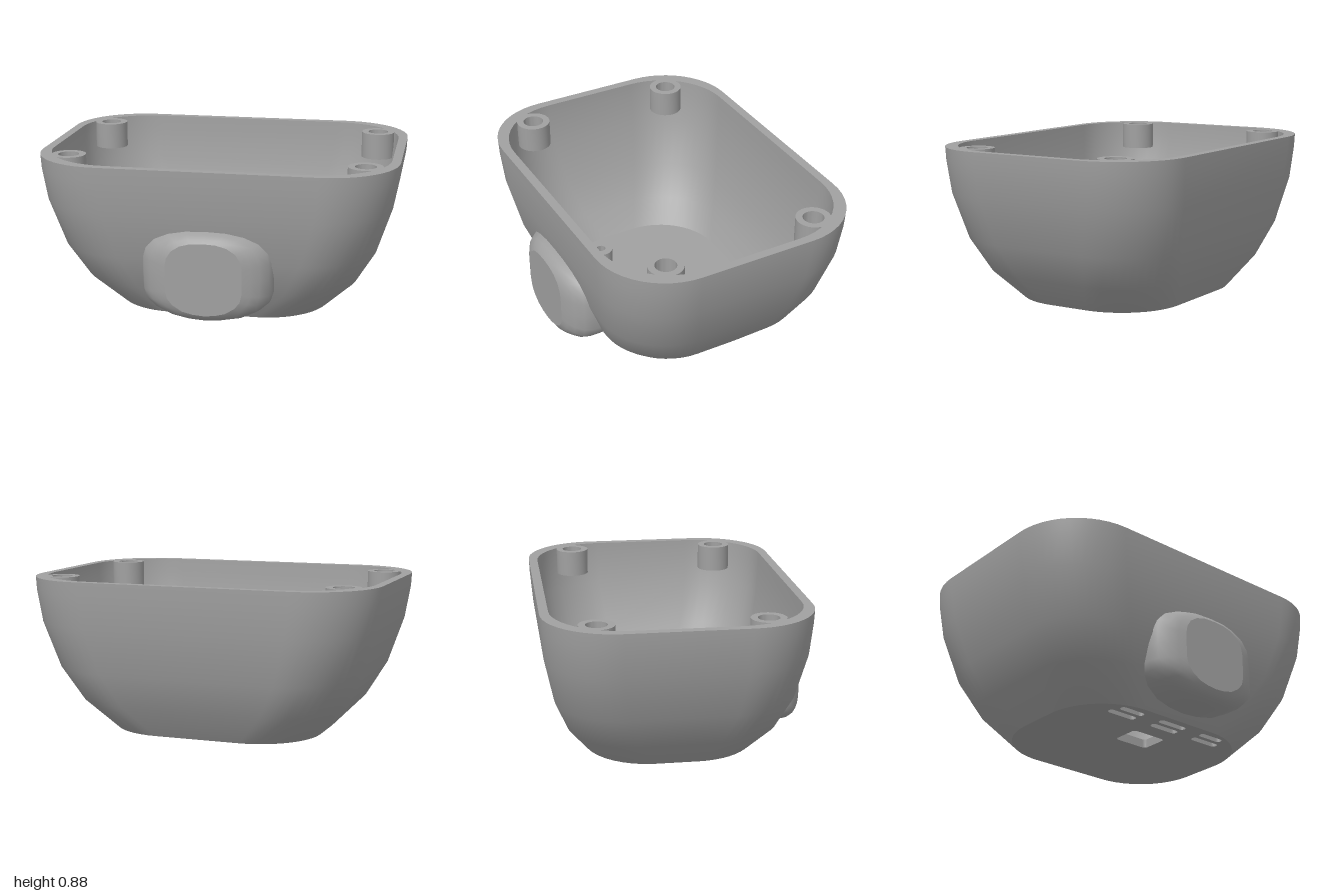
import * as THREE from 'three';
import { toCreasedNormals } from 'three/addons/utils/BufferGeometryUtils.js';

const CZ = -0.018; // middle of the shell in z
const WALL = 0.05;
const TOP = 0.875;

// Outer shell sections: height, half width, half depth, corner radius
const SECTIONS = [
  [0, 0.605, 0.48, 0.36],
  [0.17, 0.77, 0.588, 0.37],
  [0.36, 0.88, 0.66, 0.38],
  [0.62, 0.965, 0.713, 0.39],
  [0.8, 0.996, 0.728, 0.4],
  [TOP, 1, 0.731, 0.4],
];

// Front z of the shell at a given height
function frontZ(y) {
  let i = 0;
  while (i < SECTIONS.length - 2 && y > SECTIONS[i + 1][0]) i++;
  const [a, b] = [SECTIONS[i], SECTIONS[i + 1]];
  return CZ + THREE.MathUtils.mapLinear(y, a[0], b[0], a[2], b[2]);
}

// Rounded rectangle as 2D points (x, z)
function roundedRect(cx, cz, hw, hd, r, seg) {
  const pts = [];
  [[1, 1], [-1, 1], [-1, -1], [1, -1]].forEach(([sx, sz], q) => {
    for (let i = 0; i <= seg; i++) {
      const a = (q + i / seg) * Math.PI / 2;
      pts.push(new THREE.Vector2(
        cx + sx * (hw - r) + r * Math.cos(a),
        cz + sz * (hd - r) + r * Math.sin(a)));
    }
  });
  return pts;
}

// Skin over closed rings with equal point counts
function loft(rings, crease) {
  const n = rings[0].length;
  const index = [];
  for (let k = 0; k < rings.length - 1; k++) {
    for (let i = 0; i < n; i++) {
      const j = (i + 1) % n;
      const a = k * n + i, b = k * n + j, c = a + n, d = b + n;
      index.push(a, c, b, b, c, d);
    }
  }
  const geo = new THREE.BufferGeometry().setFromPoints(rings.flat());
  geo.setIndex(index);
  return toCreasedNormals(geo, crease);
}

// Round post with a blind screw hole
function postGeometry(R, r, y0, y1, holeBottom) {
  const profile = [[0, y0], [R, y0], [R, y1], [r, y1], [r, holeBottom], [0, holeBottom]]
    .map(([x, y]) => new THREE.Vector2(x, y));
  return toCreasedNormals(new THREE.LatheGeometry(profile, 36), 0.6);
}

export function createModel() {
  const model = new THREE.Group();
  model.name = 'openHousing';
  const grey = new THREE.MeshStandardMaterial({ color: 0xa0a0a0 });
  grey.name = 'grey plastic';
  const add = (name, geo, x = 0, y = 0, z = 0) => {
    const mesh = new THREE.Mesh(geo, grey);
    mesh.name = name;
    mesh.position.set(x, y, z);
    model.add(mesh);
  };

  // Shell: underside edge, outer wall, rim, inner wall
  const ring = (y, hw, hd, r) =>
    roundedRect(0, CZ, hw, hd, r, 12).map((p) => new THREE.Vector3(p.x, y, p.y));
  const floorSize = [0.6, 0.462, 0.36];
  const outer = SECTIONS.map((s) => ring(...s));
  const inner = SECTIONS.slice(1).reverse()
    .map(([y, hw, hd, r]) => ring(y, hw - WALL, hd - WALL, r));
  add('shell', loft(
    [ring(0, ...floorSize), ...outer, ...inner, ring(WALL, ...floorSize)], 0.6));

  // Floor with a cable opening and two rows of vent slots
  const floor = new THREE.Shape(roundedRect(0, CZ, ...floorSize, 12));
  const cut = (...a) => floor.holes.push(new THREE.Path(roundedRect(...a, 6).reverse()));
  cut(0, 0.13, 0.11, 0.082, 0.02);
  for (const side of [-1, 0, 1]) {
    cut(side * 0.303, 0.333, 0.092, 0.021, 0.02);
    cut(side * 0.288, 0.4, side ? 0.079 : 0.092, 0.02, 0.019);
  }
  const floorGeo = new THREE.ExtrudeGeometry(floor, { depth: WALL, bevelEnabled: false });
  floorGeo.rotateX(Math.PI / 2).translate(0, WALL, 0);
  add('floor', floorGeo);

  // Screw posts under the rim corners and on the floor
  const cornerPost = postGeometry(0.096, 0.058, TOP - 0.15, TOP, TOP - 0.12);
  const floorPost = postGeometry(0.07, 0.027, 0.03, 0.14, 0.06);
  for (const side of [-1, 1]) {
    add('rearCornerPost', cornerPost, side * 0.82, 0, -0.47);
    add('frontCornerPost', cornerPost, side * 0.82, 0, 0.425);
    add('floorPost', floorPost, side * 0.393, 0, 0.21);
  }

  // Snout: rounded barrel outline that shrinks towards a flat front
  const half = [[0, 0.55], [0.12, 0.545], [0.22, 0.525], [0.3, 0.487], [0.345, 0.435],
    [0.36, 0.38], [0.36, 0.29], [0.357, 0.2], [0.34, 0.15], [0.29, 0.105],
    [0.2, 0.064], [0.1, 0.046], [0, 0.04]];
  const outline = [...half, ...half.slice(1, -1).reverse().map(([x, y]) => [-x, y])];
  const MID = 0.295;
  const snoutRing = (z, sx, sy) => outline.map(([x, y]) => {
    const py = MID + (y - MID) * sy;
    return new THREE.Vector3(x * sx, py, Math.max(z, frontZ(py) - 0.03));
  });
  const steps = [[0, 1, 1], [0.62, 1, 1], [0.67, 0.95, 0.985], [0.71, 0.83, 0.94],
    [0.735, 0.7, 0.87], [0.75, 0.58, 0.79]];
  const snoutRings = steps.map((s) => snoutRing(...s));
  add('snout', loft(snoutRings, 0.8));
  const face = new THREE.Shape(snoutRings.at(-1).map((p) => new THREE.Vector2(p.x, p.y)));
  add('snoutFace', new THREE.ShapeGeometry(face), 0, 0, 0.75);

  return model;
}
